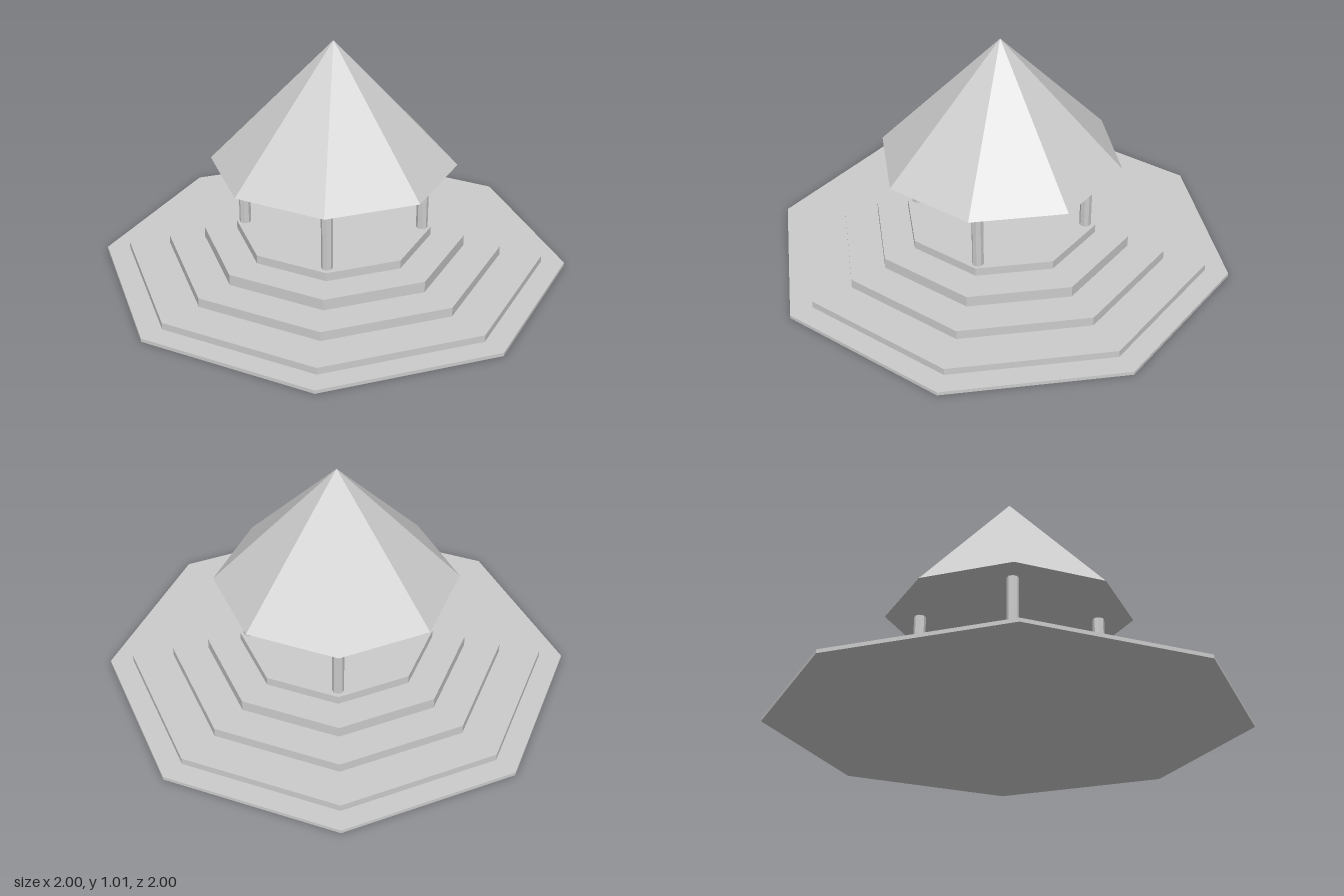
import * as THREE from 'three';

const SIDES = 8;

export function createModel() {
  const model = new THREE.Group();
  const material = new THREE.MeshStandardMaterial({ color: 0xcccccc, flatShading: true });

  function add(name, geometry, x, y, z) {
    const mesh = new THREE.Mesh(geometry, material);
    mesh.name = name;
    mesh.position.set(x, y, z);
    model.add(mesh);
  }

  // Octagonal steps, stacked from the ground up: [radius, top height]
  const steps = [[1, 0.015], [0.9, 0.045], [0.72, 0.085], [0.563, 0.133], [0.42, 0.17]];
  let bottom = 0;
  steps.forEach(([radius, top], i) => {
    const height = top - bottom;
    add(`step${i + 1}`, new THREE.CylinderGeometry(radius, radius, height, SIDES), 0, bottom + height / 2, 0);
    bottom = top;
  });

  // Four pillars on the axes
  const floorY = bottom;
  const roofY = 0.47;
  const pillar = new THREE.CylinderGeometry(0.025, 0.025, roofY - floorY, SIDES);
  [[0.381, 0], [-0.383, 0], [0, 0.374], [0, -0.375]].forEach(([x, z], i) => {
    add(`pillar${i + 1}`, pillar, x, (floorY + roofY) / 2, z);
  });

  // Pointed octagonal roof with a flat underside
  const roofHeight = 1.013 - roofY;
  add('roof', new THREE.ConeGeometry(0.522, roofHeight, SIDES), 0, roofY + roofHeight / 2, 0);

  return model;
}
